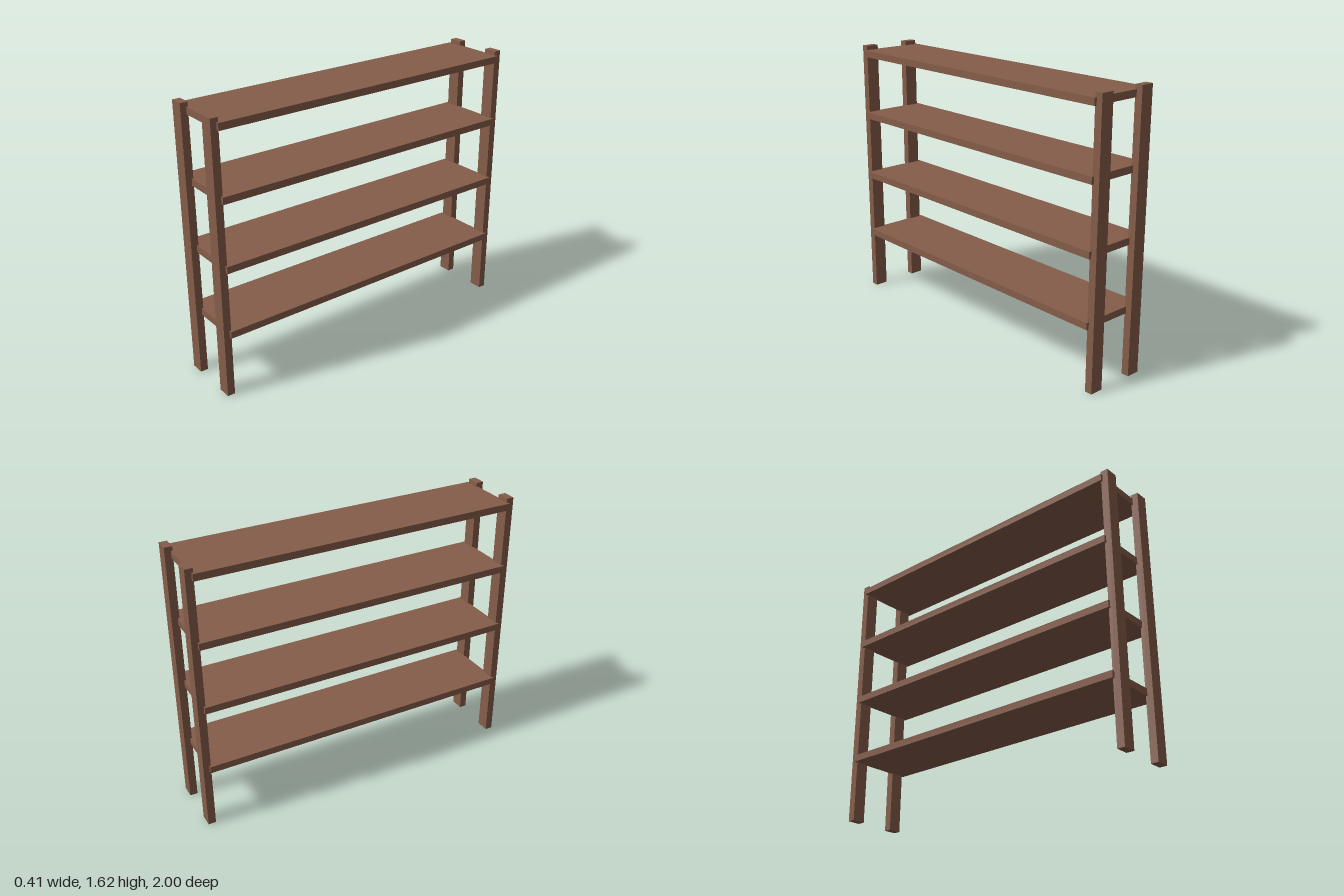
import * as THREE from 'three';

const POST = { w: 0.08, h: 1.615, d: 0.045, x: 0.148 };
const SHELF = { w: 0.408, h: 0.041, d: 1.93 };

export function createModel() {
  const model = new THREE.Group();
  model.name = 'shelfUnit';

  const wood = new THREE.MeshStandardMaterial({ color: 0x855d4a });
  wood.name = 'brownWood';

  const addBoard = (name, w, h, d, x, y, z) => {
    const mesh = new THREE.Mesh(new THREE.BoxGeometry(w, h, d), wood);
    mesh.name = name;
    mesh.position.set(x, y, z);
    model.add(mesh);
  };

  // Four upright posts, two at each end
  for (const [side, sx] of [['Left', 1], ['Right', -1]]) {
    for (const [end, sz] of [['front', 1], ['back', -1]]) {
      addBoard(`${end}${side}Post`, POST.w, POST.h, POST.d,
        sx * POST.x, POST.h / 2, sz * (1 - POST.d / 2));
    }
  }

  // Four evenly spaced shelves, let slightly into the posts
  for (let i = 0; i < 4; i++) {
    addBoard(`shelf${i + 1}`, SHELF.w, SHELF.h, SHELF.d, 0, 0.387 + i * 0.394, 0);
  }

  return model;
}
